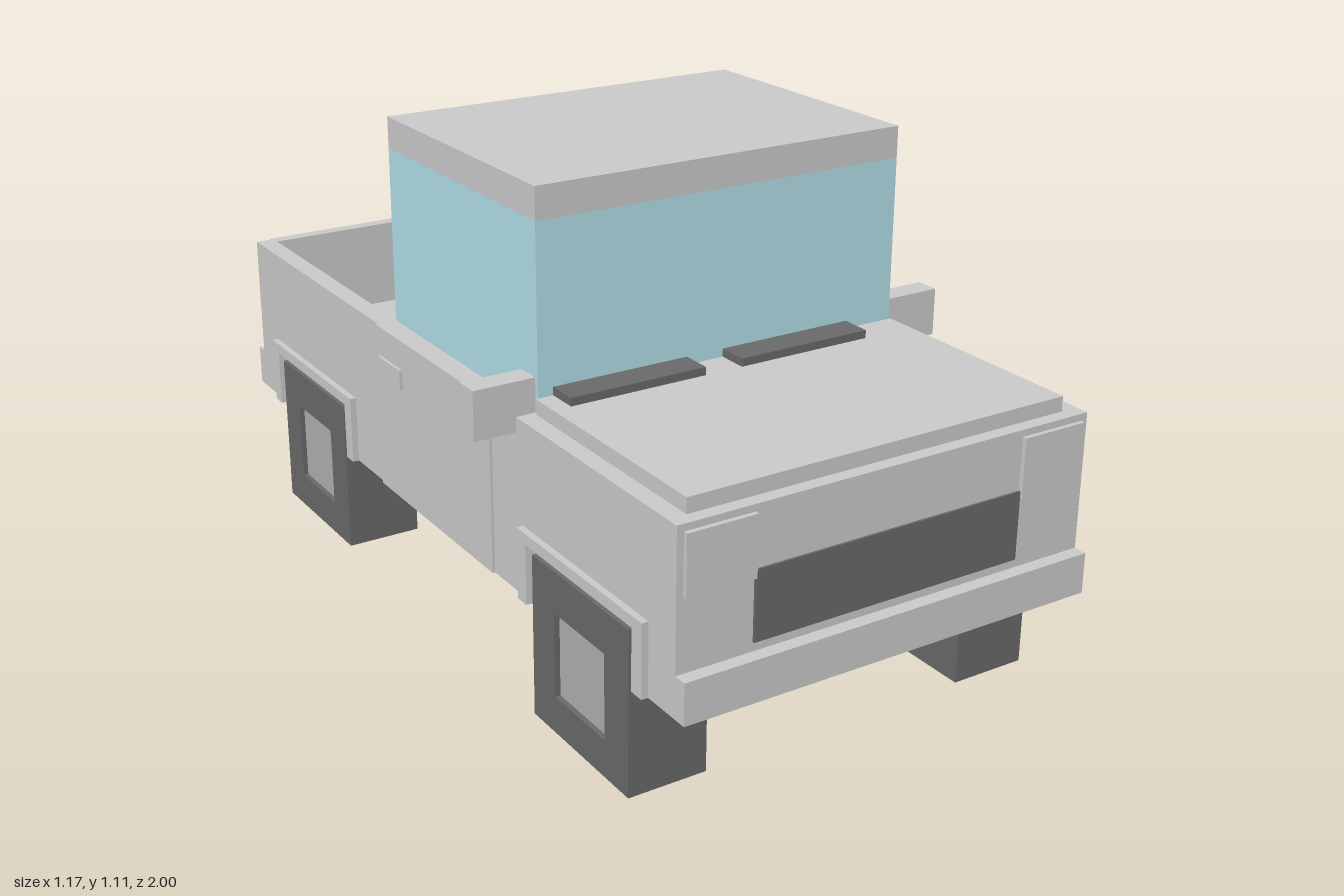
import * as THREE from 'three';

const mat = (color, extra = {}) => new THREE.MeshStandardMaterial({ color, ...extra });
const grey = mat(0xcccccc);
const dark = mat(0x6a6a6a);
const hubGrey = mat(0xb0b0b0);
const glass = mat(0xb2e0e8);
const red = mat(0xd06a6c);

export function createModel() {
  const truck = new THREE.Group();
  truck.name = 'pickupTruck';

  function add(name, geometry, material) {
    const mesh = new THREE.Mesh(geometry, material);
    mesh.name = name;
    truck.add(mesh);
    return mesh;
  }

  // Box given by its limits on each axis
  function box(name, [x0, x1], [y0, y1], [z0, z1], material = grey) {
    const g = new THREE.BoxGeometry(Math.abs(x1 - x0), y1 - y0, z1 - z0);
    g.translate((x0 + x1) / 2, (y0 + y1) / 2, (z0 + z1) / 2);
    return add(name, g, material);
  }

  // Side profile of [z, y] points, extruded across x from x0 to x1
  function slab(name, points, x0, x1, material = grey, hole) {
    const shape = new THREE.Shape(points.map(p => new THREE.Vector2(...p)));
    if (hole) shape.holes.push(new THREE.Path(hole.map(p => new THREE.Vector2(...p))));
    const g = new THREE.ExtrudeGeometry(shape, { depth: x1 - x0, bevelEnabled: false });
    g.rotateY(-Math.PI / 2);
    g.translate(x1, 0, 0);
    return add(name, g, material);
  }

  const rect = (z0, z1, y0, y1) => [[z0, y0], [z1, y0], [z1, y1], [z0, y1]];

  // Underside with both wheel arches cut out
  const low = 0.245, rim = 0.635, arch = 0.38;
  const underside = [
    [-0.97, low], [-0.835, low], [-0.835, arch], [-0.43, arch], [-0.43, low],
    [0.445, low], [0.445, arch], [0.845, arch], [0.845, low], [0.97, low],
  ];

  // Body core with the open bed, then the two side walls
  slab('bodyCore', [
    ...underside, [0.97, rim], [-0.28, rim], [-0.28, 0.42], [-0.395, 0.42], [-0.395, 0.44],
    [-0.865, 0.44], [-0.865, 0.42], [-0.945, 0.42], [-0.945, rim], [-0.97, rim],
  ], -0.445, 0.445);
  for (const s of [-1, 1]) {
    const xs = [s * 0.445, s * 0.49].sort((a, b) => a - b);
    slab('sideWall', [...underside, [0.97, rim], [-0.97, rim]], ...xs);
  }

  // Cab, roof and hood
  box('cabGlass', [-0.445, 0.445], [rim, 1.035], [-0.25, 0.4], glass);
  box('roof', [-0.445, 0.445], [1.035, 1.105], [-0.25, 0.4]);
  box('hood', [-0.45, 0.45], [rim, 0.668], [0.4, 0.94]);
  box('wiper', [-0.41, -0.09], [0.668, 0.686], [0.4, 0.47], dark);
  box('wiper', [0, 0.325], [0.668, 0.686], [0.4, 0.47], dark);

  // Front and rear ends
  box('frontBumper', [-0.49, 0.49], [low, 0.335], [0.96, 1]);
  box('rearBumper', [-0.49, 0.49], [low, 0.34], [-1, -0.96]);
  box('grille', [-0.32, 0.32], [0.355, 0.505], [0.96, 0.975], dark);
  box('tailgate', [-0.45, 0.45], [0.34, rim], [-0.977, -0.96]);

  for (const s of [-1, 1]) {
    box('headlight', [s * 0.32, s * 0.475], [0.49, 0.62], [0.96, 0.98]);
    box('tailLight', [s * 0.22, s * 0.445], [0.39, 0.535], [-0.985, -0.96], red);
    box('mirror', [s * 0.445, s * 0.585], [0.602, 0.71], [0.335, 0.39]);
    box('door', [s * 0.485, s * 0.496], [low, rim], [-0.25, 0.285]);
    box('doorHandle', [s * 0.49, s * 0.503], [0.52, 0.567], [-0.23, -0.12]);

    // Wheels with inset hubs, and the arch trim around them
    for (const z of [0.645, -0.63]) {
      const xs = [s * 0.32, s * 0.5].sort((a, b) => a - b);
      slab('tire', rect(z - 0.182, z + 0.182, 0, 0.365), ...xs, dark,
        rect(z - 0.095, z + 0.095, 0.083, 0.273));
      box('hub', [s * 0.325, s * 0.488], [0.083, 0.273], [z - 0.095, z + 0.095], hubGrey);

      const ts = [s * 0.485, s * 0.505].sort((a, b) => a - b);
      slab('archTrim', [
        [z - 0.235, low], [z - 0.2, low], [z - 0.2, arch], [z + 0.2, arch],
        [z + 0.2, low], [z + 0.235, low], [z + 0.235, 0.405], [z - 0.235, 0.405],
      ], ...ts);
    }
  }

  // Square exhaust pipe, open at the rear
  const pipe = new THREE.Shape([[0.172, 0.208], [0.258, 0.208], [0.258, 0.26], [0.172, 0.26]]
    .map(p => new THREE.Vector2(...p)));
  pipe.holes.push(new THREE.Path([[0.193, 0.221], [0.237, 0.221], [0.237, 0.247], [0.193, 0.247]]
    .map(p => new THREE.Vector2(...p))));
  const pipeGeometry = new THREE.ExtrudeGeometry(pipe, { depth: 0.15, bevelEnabled: false });
  pipeGeometry.translate(0, 0, -0.98);
  add('exhaustPipe', pipeGeometry, grey);
  box('exhaustInside', [0.193, 0.237], [0.221, 0.247], [-0.9, -0.835], dark);

  return truck;
}
